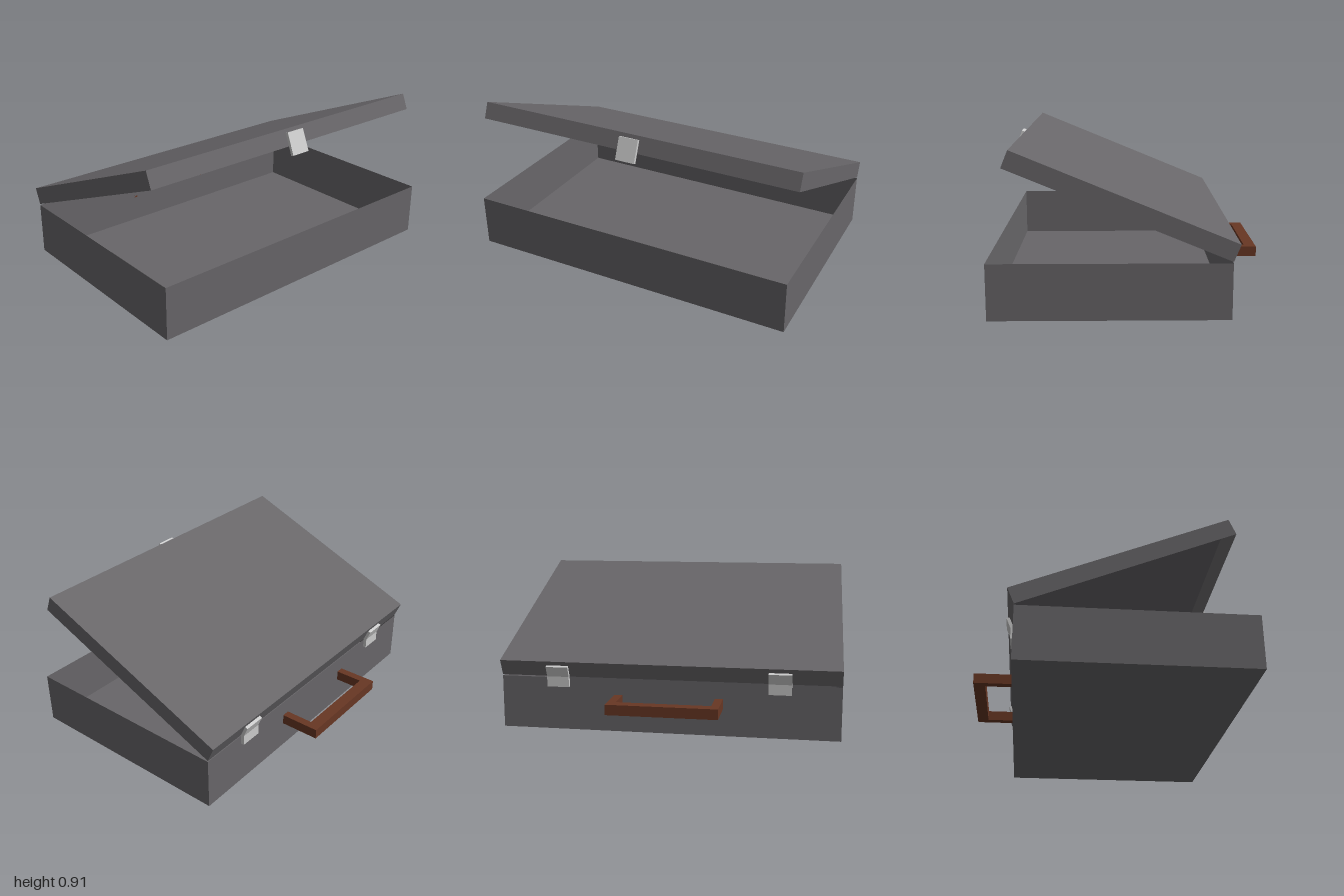
import * as THREE from 'three';

const shell = new THREE.MeshStandardMaterial({ color: 0x686669, side: THREE.DoubleSide });
const metal = new THREE.MeshStandardMaterial({ color: 0xcccccc });
const leather = new THREE.MeshStandardMaterial({ color: 0x683724 });

const LENGTH = 1.305, WIDTH = 2, BACK = -0.538;

function add(parent, name, geometry, material) {
  const mesh = new THREE.Mesh(geometry, material);
  mesh.name = name;
  parent.add(mesh);
  return mesh;
}

// Box given by its min and max corners
function block(min, max) {
  const size = max.map((v, i) => v - min[i]);
  return new THREE.BoxGeometry(...size).translate(...min.map((v, i) => v + size[i] / 2));
}

// Thin-walled box with one side left open (2 = top, 3 = bottom)
function tray(height, openSide) {
  const g = new THREE.BoxGeometry(LENGTH, height, WIDTH);
  const index = Array.from(g.index.array);
  index.splice(openSide * 6, 6);
  g.setIndex(index);
  g.clearGroups();
  return g.translate(LENGTH / 2, height / 2, 0);
}

export function createModel() {
  const model = new THREE.Group();
  model.name = 'briefcase';

  // Open case bottom
  add(model, 'caseBottom', tray(0.313, 2), shell).position.x = BACK;

  // Raised lid, turning about the back edge
  const lid = new THREE.Group();
  lid.name = 'lid';
  lid.position.set(BACK, 0.32, 0);
  lid.rotation.z = THREE.MathUtils.degToRad(22.5);
  model.add(lid);
  add(lid, 'lidShell', tray(0.101, 3), shell);
  add(lid, 'latch', block([1.314, -0.055, -0.06], [1.332, 0.079, 0.06]), metal);

  // Two hinges, each with a leaf on the lid and a leaf on the case
  for (const z of [-0.652, 0.652]) {
    add(lid, 'hingeLidLeaf', block([-0.018, 0, z - 0.066], [0, 0.075, z + 0.066]), metal);
    add(model, 'hingeCaseLeaf', block([BACK - 0.02, 0.26, z - 0.066], [BACK, 0.323, z + 0.066]), metal);
  }

  // U-shaped handle, drawn in plan and extruded upwards
  const plan = [[BACK, -0.32], [-0.772, -0.32], [-0.772, 0.32], [BACK, 0.32],
    [BACK, 0.273], [-0.704, 0.273], [-0.704, -0.273], [BACK, -0.273]];
  const outline = new THREE.Shape(plan.map(([x, z]) => new THREE.Vector2(x, z)));
  const handle = new THREE.ExtrudeGeometry(outline, { depth: 0.06, bevelEnabled: false });
  handle.rotateX(-Math.PI / 2).translate(0, 0.16, 0.005);
  add(model, 'handle', handle, leather);

  return model;
}
